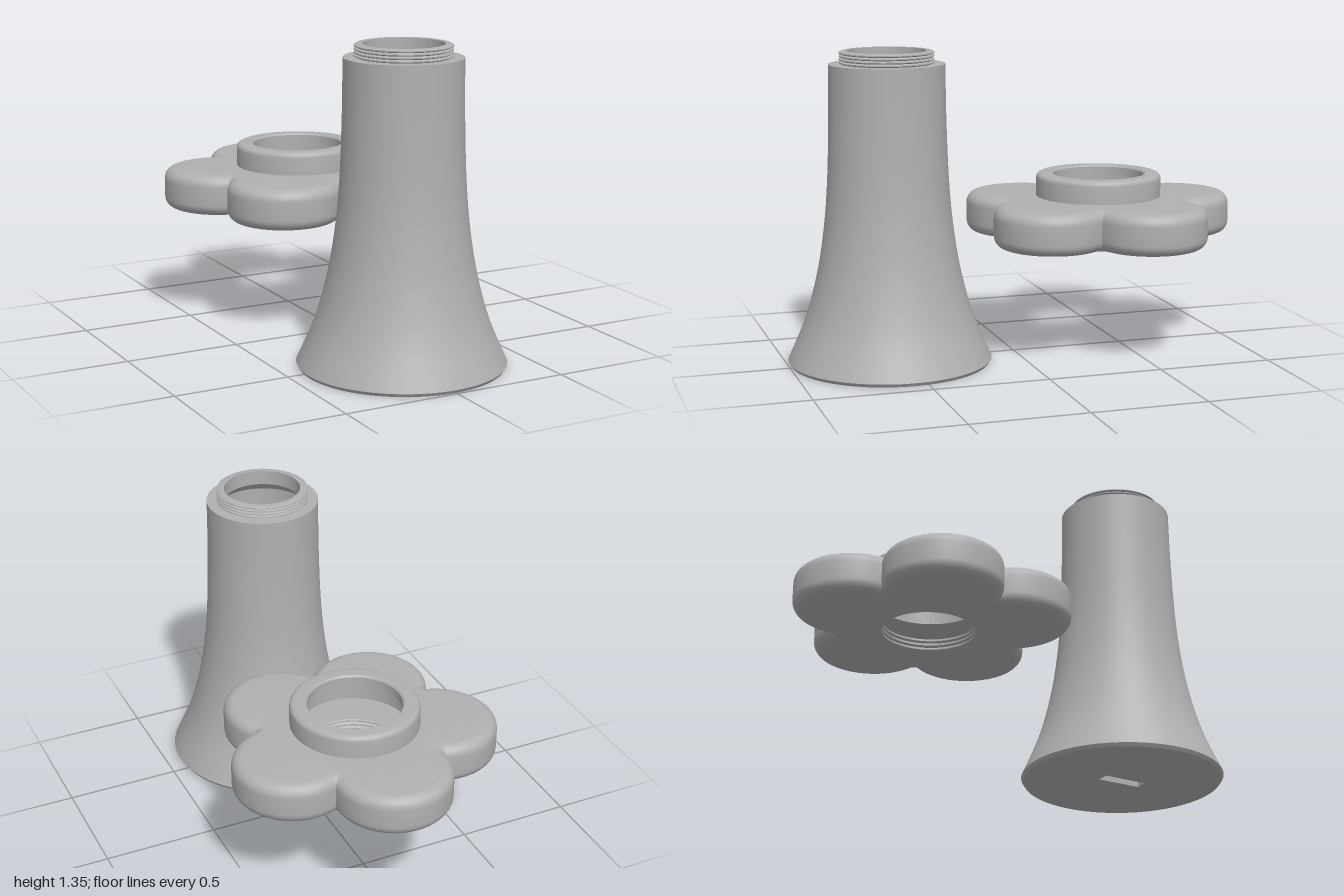
import * as THREE from 'three';
import { toCreasedNormals } from 'three/addons/utils/BufferGeometryUtils.js';

const SEGMENTS = 96;
const CREASE = 0.45;

// Saw-tooth screw rings between two heights, as [radius, y] pairs
function thread(y0, y1, crest, root, count) {
  const pts = [];
  const pitch = (y1 - y0) / count;
  for (let i = 0; i < count; i++) {
    const y = y0 + i * pitch;
    pts.push([root, y], [crest, y + pitch * 0.35], [crest, y + pitch * 0.65], [root, y + pitch]);
  }
  return pts;
}

function lathe(profile) {
  const pts = profile.map(([r, y]) => new THREE.Vector2(r, y));
  return toCreasedNormals(new THREE.LatheGeometry(pts, SEGMENTS), CREASE);
}

// Five-petal outline: points with inward directions, so it can be inset by any amount
function petalOutline(dist, radius) {
  const out = [];
  const half = Math.PI / 5;
  const notch = dist * Math.cos(half) + Math.sqrt(radius ** 2 - (dist * Math.sin(half)) ** 2);
  const sweep = Math.atan2(notch * Math.sin(half), notch * Math.cos(half) - dist);
  for (let k = 0; k < 5; k++) {
    const mid = Math.PI + k * 2 * half;
    const cx = Math.sin(mid) * dist, cz = Math.cos(mid) * dist;
    // Petal arc
    const n = 32;
    for (let i = 0; i <= n; i++) {
      const a = mid - sweep + (2 * sweep * i) / n;
      const dx = Math.sin(a), dz = Math.cos(a);
      out.push({ x: cx + dx * radius, z: cz + dz * radius, nx: -dx, nz: -dz });
    }
    // Fan of directions at the notch between two petals
    const m = 8;
    const from = mid + sweep + Math.PI, to = mid + 2 * half - sweep + Math.PI;
    for (let i = 1; i < m; i++) {
      const a = from + ((to - from) * i) / m;
      out.push({
        x: Math.sin(mid + half) * notch, z: Math.cos(mid + half) * notch,
        nx: Math.sin(a), nz: Math.cos(a),
      });
    }
  }
  return out;
}

// Skin over closed rows of points
function loft(rows) {
  const n = rows[0].length;
  const pos = rows.flat(2);
  const index = [];
  for (let i = 0; i < rows.length - 1; i++) {
    for (let j = 0; j < n; j++) {
      const k = (j + 1) % n;
      const a = i * n + j, b = a + n, c = (i + 1) * n + k, d = i * n + k;
      index.push(a, d, c, a, c, b);
    }
  }
  const g = new THREE.BufferGeometry();
  g.setAttribute('position', new THREE.Float32BufferAttribute(pos, 3));
  g.setIndex(index);
  return toCreasedNormals(g, CREASE);
}

function createVase(material) {
  const vase = new THREE.Group();
  vase.name = 'vase';

  // Flared wall, threaded neck and hollow inside as one closed profile
  const flare = new THREE.SplineCurve([
    [0.44, 0.015], [0.362, 0.2], [0.308, 0.4], [0.276, 0.6], [0.259, 0.8], [0.25, 1.05], [0.247, 1.29],
  ].map(([r, y]) => new THREE.Vector2(r, y))).getPoints(40).map((p) => [p.x, p.y]);
  const inside = flare.filter(([, y]) => y > 0.06 && y < 1.2).reverse().map(([r, y]) => [r - 0.04, y]);
  const body = new THREE.Mesh(lathe([
    [0.38, 0], [0.43, 0], ...flare,
    ...thread(1.29, 1.345, 0.202, 0.192, 4),
    [0.168, 1.345], [0.168, 1.28], [0.207, 1.24],
    ...inside, [0.38, 0.04],
  ]), material);
  body.name = 'vaseBody';

  // Floor with a narrow slot
  const disc = new THREE.Shape().absarc(0, 0, 0.385, 0, Math.PI * 2);
  const slot = new THREE.Path();
  slot.moveTo(-0.028, -0.1).lineTo(-0.028, 0.1).lineTo(0.028, 0.1).lineTo(0.028, -0.1).closePath();
  disc.holes.push(slot);
  const floorGeometry = new THREE.ExtrudeGeometry(disc, { depth: 0.04, bevelEnabled: false, curveSegments: 48 });
  floorGeometry.rotateX(-Math.PI / 2);
  const floor = new THREE.Mesh(floorGeometry, material);
  floor.name = 'slottedFloor';

  vase.add(body, floor);
  vase.position.z = 0.56;
  return vase;
}

function createFlower(material) {
  const outline = petalOutline(0.355, 0.25);
  const petals = (inset, y) => outline.map((p) => [p.x + p.nx * inset, y, p.z + p.nz * inset]);
  const circle = (r, y) => petals(0.05, y).map(([x, , z]) => {
    const s = r / Math.hypot(x, z);
    return [x * s, y, z * s];
  });
  const round = 0.05, steps = 8;
  const rows = [circle(0.2, 0.5)];

  // Rounded petals, lower then upper edge
  for (let i = 0; i <= steps; i++) {
    const a = (i / steps) * Math.PI / 2;
    rows.push(petals(round * (1 - Math.sin(a)), 0.5 + round * (1 - Math.cos(a))));
  }
  for (let i = 0; i <= steps; i++) {
    const a = (i / steps) * Math.PI / 2;
    rows.push(petals(round * (1 - Math.cos(a)), 0.68 - round * (1 - Math.sin(a))));
  }

  // Collar with a rounded rim
  rows.push(circle(0.275, 0.68));
  for (let i = 0; i <= 5; i++) {
    const a = (i / 5) * Math.PI / 2;
    rows.push(circle(0.253 + 0.022 * Math.cos(a), 0.758 + 0.022 * Math.sin(a)));
  }
  rows.push(circle(0.207, 0.78), circle(0.2, 0.773), circle(0.2, 0.735), circle(0.235, 0.735), circle(0.235, 0.645));

  // Hollow petals, then the threaded hole underneath
  rows.push(petals(0.035, 0.645), petals(0.035, 0.56), circle(0.2, 0.56));
  thread(0.5, 0.56, 0.2, 0.21, 3).reverse().forEach(([r, y]) => rows.push(circle(r, y)));
  rows.push(circle(0.2, 0.5));

  const flower = new THREE.Mesh(loft(rows), material);
  flower.name = 'flowerTop';
  flower.position.z = -0.395;
  return flower;
}

export function createModel() {
  const grey = new THREE.MeshStandardMaterial({ color: 0xb0b0b0 });
  grey.name = 'plain grey';
  const model = new THREE.Group();
  model.name = 'flowerVase';
  model.add(createVase(grey), createFlower(grey));
  return model;
}
